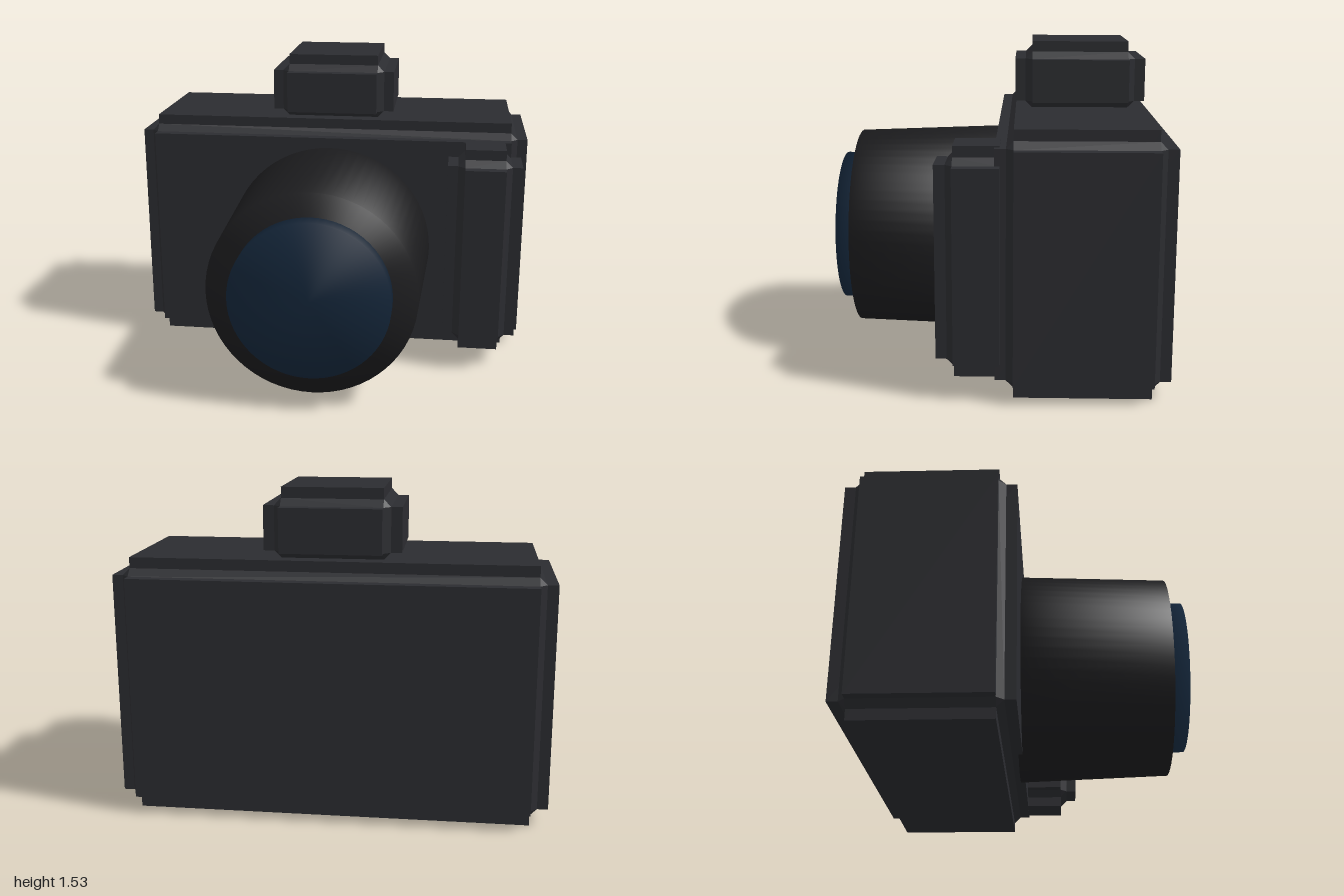
import * as THREE from 'three';
import { mergeVertices, mergeGeometries } from 'three/addons/utils/BufferGeometryUtils.js';
import { ConvexGeometry } from 'three/addons/geometries/ConvexGeometry.js';

const bodyMat = new THREE.MeshStandardMaterial({ color: 0x2b2c30 });
const barrelMat = new THREE.MeshStandardMaterial({ color: 0x1c1c1e });
const glassMat = new THREE.MeshStandardMaterial({ color: 0x14263a });

const STEP = 0.083; // inset of each raised panel from the outer size
const PANEL = 0.05; // height of each raised panel above the chamfered core

// Chamfered block with a raised panel on all six faces
function panelledBlock(name, [x0, x1], [y0, y1], [z0, z1]) {
  const half = [(x1 - x0) / 2, (y1 - y0) / 2, (z1 - z0) / 2];
  const parts = [];
  const corners = [];
  for (let axis = 0; axis < 3; axis++) {
    // slab running through the block, its two ends forming opposite panels
    const size = half.map((h, i) => 2 * (i === axis ? h : h - STEP));
    parts.push(new THREE.BoxGeometry(...size).toNonIndexed());
    // corners of the chamfered core
    for (let k = 0; k < 8; k++) {
      const c = half.map((h, i) => (h - (i === axis ? PANEL : STEP)) * ((k >> i) & 1 ? 1 : -1));
      corners.push(new THREE.Vector3(...c));
    }
  }
  parts.push(new ConvexGeometry(corners));
  parts.forEach((g) => g.deleteAttribute('uv'));
  const mesh = new THREE.Mesh(mergeGeometries(parts), bodyMat);
  mesh.name = name;
  mesh.position.set((x0 + x1) / 2, (y0 + y1) / 2, (z0 + z1) / 2);
  return mesh;
}

// Round part along z with normals shared across its rims
function softCylinder(name, rFront, rBack, zBack, zFront, material) {
  let geo = new THREE.CylinderGeometry(rFront, rBack, zFront - zBack, 64);
  geo.deleteAttribute('uv');
  geo.deleteAttribute('normal');
  geo = mergeVertices(geo);
  geo.computeVertexNormals();
  geo.rotateX(Math.PI / 2);
  const mesh = new THREE.Mesh(geo, material);
  mesh.name = name;
  mesh.position.set(0, 0.557, (zBack + zFront) / 2);
  return mesh;
}

export function createModel() {
  const camera = new THREE.Group();
  camera.name = 'camera';
  camera.add(
    panelledBlock('body', [-1, 1], [0, 1.212], [-0.79, -0.006]),
    panelledBlock('viewfinderHump', [-0.313, 0.313], [1.16, 1.53], [-0.712, -0.086]),
    panelledBlock('handGrip', [0.605, 0.968], [0.085, 1.135], [-0.112, 0.258]),
    softCylinder('lensBarrel', 0.495, 0.522, -0.025, 0.705, barrelMat),
    softCylinder('lensGlass', 0.378, 0.378, 0.65, 0.79, glassMat)
  );
  return camera;
}
